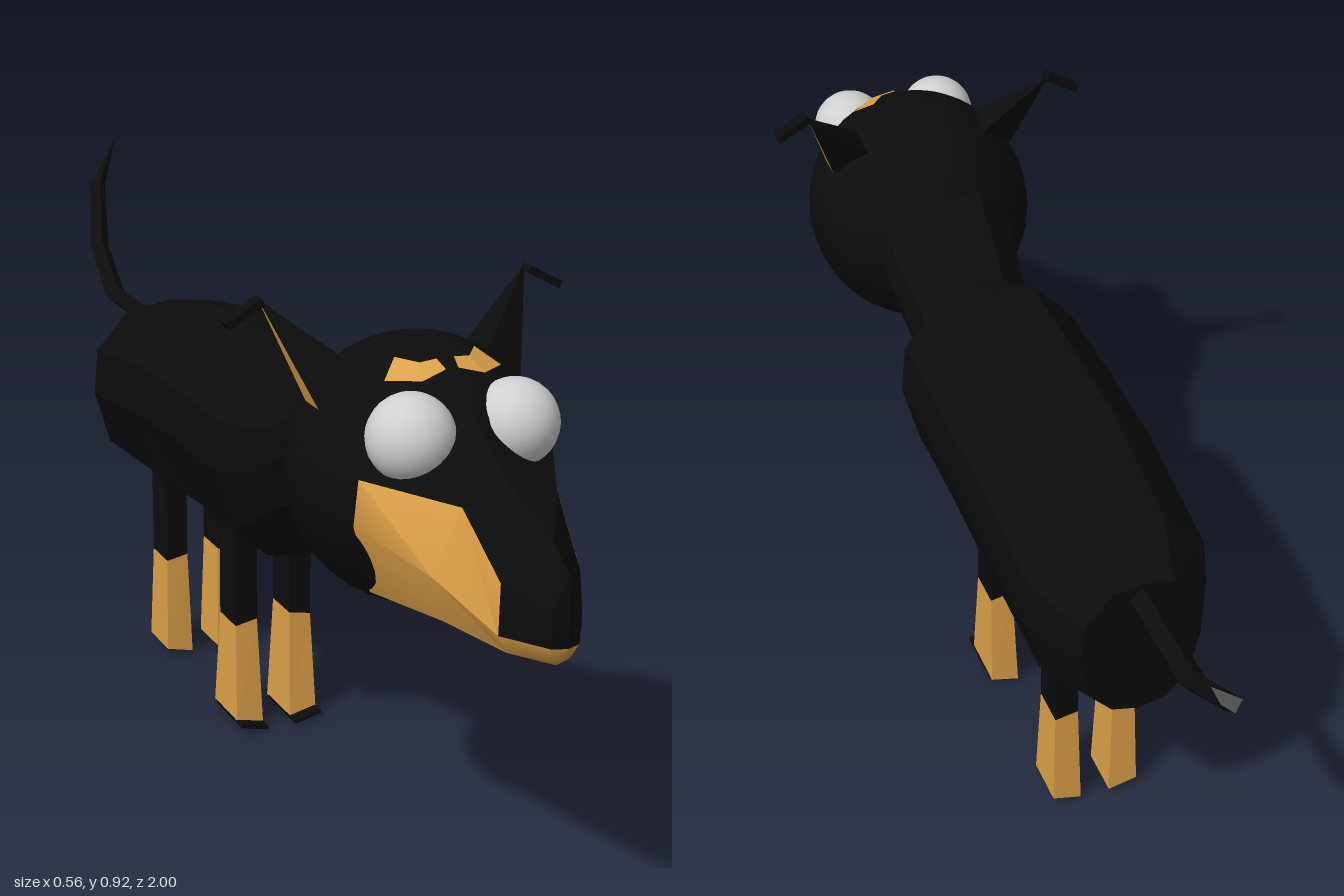
import * as THREE from 'three';
import { toCreasedNormals } from 'three/addons/utils/BufferGeometryUtils.js';

const mat = (name, color) => Object.assign(new THREE.MeshStandardMaterial({ color }), { name });

export function createModel() {
  const black = mat('black coat', 0x0c0c0c);
  const tan = mat('tan markings', 0xdca048);
  const white = mat('eye white', 0xd0d0d0);
  const grey = mat('grey tail tip', 0x8a8a8a);
  const mats = [black, tan, white, grey];
  const model = new THREE.Group();
  model.name = 'dog';

  function add(name, geometry, material) {
    const mesh = new THREE.Mesh(geometry, material);
    mesh.name = name;
    model.add(mesh);
    return mesh;
  }

  // Skin between closed rings of points, capped at both ends; pick(i, j) gives each face's colour
  function loft(rings, pick) {
    const lists = mats.map(() => []);
    const tri = (m, ...p) => {
      const [a, b, c] = p.map(q => new THREE.Vector3(...q));
      if (new THREE.Triangle(a, b, c).getArea() > 1e-8) lists[m].push(...p.flat());
    };
    const n = rings[0].length, last = rings.length - 1;
    const mid = r => [0, 1, 2].map(k => r.reduce((s, p) => s + p[k], 0) / n);
    for (let j = 0; j < n; j++) {
      const k = (j + 1) % n;
      for (let i = 0; i < last; i++) {
        const [a, b, c, d] = [rings[i][j], rings[i][k], rings[i + 1][k], rings[i + 1][j]];
        tri(pick(i, j), a, b, c);
        tri(pick(i, j), a, c, d);
      }
      tri(pick(0, j), mid(rings[0]), rings[0][k], rings[0][j]);
      tri(pick(last - 1, j), mid(rings[last]), rings[last][j], rings[last][k]);
    }
    const g = new THREE.BufferGeometry();
    g.setAttribute('position', new THREE.Float32BufferAttribute(lists.flat(), 3));
    let start = 0;
    lists.forEach((l, m) => {
      if (l.length) g.addGroup(start, l.length / 3, m);
      start += l.length / 3;
    });
    g.computeVertexNormals();
    return g;
  }

  // Full ring from its +x half, listed top to bottom
  const mirrorRing = half => [
    ...half.slice().reverse(),
    ...half.slice(1, -1).map(([x, y, z]) => [-x, y, z]),
  ];

  // Body and neck: z, half width, top, bottom
  const outline = [[0, 1], [0.5, 0.93], [0.95, 0.5], [1, 0], [0.82, -0.62], [0.45, -0.92], [0, -1]];
  const sections = [
    [-0.545, 0.1, 0.61, 0.355], [-0.44, 0.155, 0.65, 0.33], [-0.2, 0.16, 0.7, 0.345],
    [-0.02, 0.16, 0.705, 0.36], [0.16, 0.16, 0.705, 0.363], [0.22, 0.1, 0.685, 0.435],
    [0.38, 0.12, 0.77, 0.51],
  ];
  add('body', loft(sections.map(([z, w, t, b]) =>
    mirrorRing(outline.map(([x, y]) => [x * w, (t + b) / 2 + y * (t - b) / 2, z]))), () => 0), mats);

  // Head
  const head = add('head', new THREE.SphereGeometry(1, 36, 24), black);
  head.scale.set(0.2, 0.205, 0.21);
  head.position.set(0, 0.655, 0.55);

  // Snout: each half ring runs top, tan edge, side, lower, bottom
  const snout = [
    [[0, 0.82, 0.66], [0.158, 0.7, 0.675], [0.165, 0.63, 0.675], [0.112, 0.5, 0.625], [0, 0.449, 0.575]],
    [[0, 0.72, 0.83], [0.075, 0.7, 0.83], [0.115, 0.6, 0.82], [0.085, 0.52, 0.8], [0, 0.475, 0.8]],
    [[0, 0.68, 0.95], [0.062, 0.62, 0.92], [0.066, 0.545, 0.925], [0.05, 0.515, 0.92], [0, 0.5, 0.92]],
    [[0, 0.65, 0.995], [0.022, 0.61, 0.992], [0.022, 0.545, 0.992], [0.015, 0.52, 0.98], [0, 0.508, 0.97]],
    [[0, 0.65, 1], [0, 0.61, 1], [0, 0.545, 1], [0, 0.52, 0.985], [0, 0.508, 0.97]],
  ];
  add('snout', toCreasedNormals(loft(snout.map(mirrorRing), (i, j) => {
    const k = Math.min(j, 7 - j);
    return k === 3 || (k === 2 && i >= 2) ? 0 : 1;
  }), 0.6), mats);

  // Point just above the head surface
  const onHead = ([x, z]) =>
    [x, 0.655 + 0.21 * Math.sqrt(1 - (x / 0.2) ** 2 - ((z - 0.55) / 0.21) ** 2), z];
  const browBack = [[0.014, 0.63], [0.04, 0.628], [0.065, 0.597]];
  const browFront = [[0.01, 0.652], [0.05, 0.658], [0.095, 0.625]];

  for (const s of [1, -1]) {
    const side = s > 0 ? 'left' : 'right';
    const flip = p => [p[0] * s, p[1], p[2]];

    // Eye
    add(side + 'Eye', new THREE.SphereGeometry(0.066, 24, 16), white).position.set(s * 0.084, 0.758, 0.69);

    // Brow patch
    const brow = [];
    for (let i = 0; i < 2; i++) {
      const q = [browBack[i], browFront[i], browFront[i + 1], browBack[i + 1]].map(onHead).map(flip);
      if (s < 0) q.reverse();
      brow.push(...[0, 1, 2, 0, 2, 3].flatMap(k => q[k]));
    }
    const browGeo = new THREE.BufferGeometry();
    browGeo.setAttribute('position', new THREE.Float32BufferAttribute(brow, 3));
    browGeo.computeVertexNormals();
    add(side + 'Brow', browGeo, tan);

    // Ear: pyramid with a tan outer face, and a folded tip
    let base = [[0.105, 0.82, 0.56], [0.167, 0.77, 0.56], [0.167, 0.77, 0.515], [0.1, 0.81, 0.49]].map(flip);
    if (s < 0) base.reverse();
    const tip = flip([0.222, 0.92, 0.463]);
    add(side + 'Ear', loft([base, base.map(() => tip)], (i, j) => (j === 1 ? 1 : 0)), mats);
    const fold = add(side + 'EarTip', new THREE.BoxGeometry(0.064, 0.012, 0.025), black);
    fold.position.set(s * 0.248, 0.902, 0.472);
    fold.rotation.z = -s * 0.5;

    // Legs: black above, tan below
    for (const [name, z] of [['FrontLeg', -0.01], ['HindLeg', -0.333]]) {
      const ring = (y, w, d, tilt = 0) => [[1, 1], [1, -1], [-1, -1], [-1, 1]].map(([a, b]) =>
        [s * 0.051 + a * w, y + a * s * tilt, z + b * d]);
      const low = name === 'FrontLeg' ? 0.05 : 0.043;
      add(side + name, loft([ring(0.01, 0.025, low, 0.006), ring(0.195, 0.02, 0.035, -0.004), ring(0.42, 0.02, 0.035)],
        i => (i ? 0 : 1)), mats);
    }
    // Toe plate under the front foot
    const toe = add(side + 'Toes', new THREE.BoxGeometry(0.052, 0.006, 0.115), black);
    toe.position.set(s * 0.051, 0.009, 0.006);
    toe.rotation.z = s * 0.23;
  }

  // Tail: x, y, z, radius, lean of the ring; the tip is grey underneath
  const tail = [
    [0.1, 0.83, -1, 0, 1], [0.045, 0.745, -0.955, 0.016, 0.9], [0.01, 0.65, -0.85, 0.018, 0.7],
    [0, 0.58, -0.74, 0.02, 0.3], [0, 0.583, -0.52, 0.02, 0],
  ];
  add('tail', loft(tail.map(([x, y, z, r, lean]) => [0, 1, 2, 3].map(k => {
    const c = Math.cos(k * Math.PI / 2) * r, n = Math.sin(k * Math.PI / 2) * r;
    return [x + c, y + n * Math.cos(lean), z + n * Math.sin(lean)];
  })), (i, j) => (i === 0 && j >= 2 ? 3 : 0)), mats);

  return model;
}
